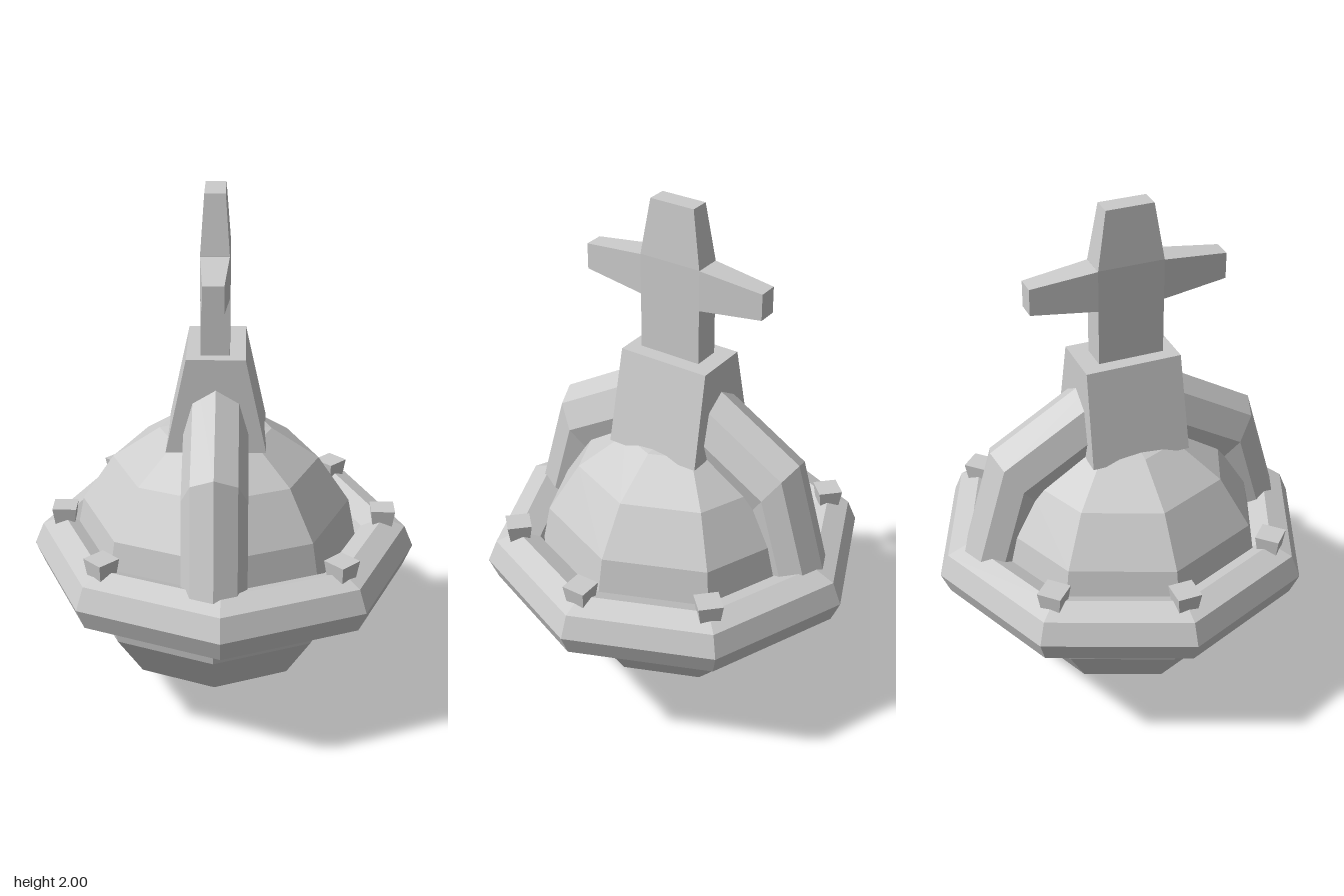
import * as THREE from 'three';

const material = new THREE.MeshStandardMaterial({ color: 0xcccccc, flatShading: true });

function add(parent, name, geometry, x = 0, y = 0, z = 0) {
  const mesh = new THREE.Mesh(geometry, material);
  mesh.name = name;
  mesh.position.set(x, y, z);
  parent.add(mesh);
  return mesh;
}

// Box standing on y = 0 whose top face has its own width and depth
function taperedBox(w0, d0, w1, d1, h) {
  const g = new THREE.BoxGeometry(1, h, 1);
  const p = g.attributes.position;
  for (let i = 0; i < p.count; i++) {
    const top = p.getY(i) > 0;
    p.setX(i, p.getX(i) * (top ? w1 : w0));
    p.setZ(i, p.getZ(i) * (top ? d1 : d0));
  }
  g.translate(0, h / 2, 0);
  g.computeVertexNormals();
  return g;
}

// Half torus stretched upward, with its feet cut short inside the rim
function archGeometry() {
  const sides = 8, steps = 4;
  const g = new THREE.TorusGeometry(0.62, 0.12, sides, steps, Math.PI);
  g.scale(1, 1.43, 1);
  const p = g.attributes.position;
  const foot = new THREE.Vector3(), next = new THREE.Vector3();
  for (let j = 0; j <= sides; j++) {
    const row = j * (steps + 1);
    for (const [a, b] of [[row, row + 1], [row + steps, row + steps - 1]]) {
      foot.fromBufferAttribute(p, a);
      next.fromBufferAttribute(p, b);
      foot.lerp(next, (0.58 - 0.35 - foot.y) / (next.y - foot.y));
      p.setXYZ(a, foot.x, foot.y, foot.z);
    }
  }
  g.rotateY(Math.PI / 2);
  g.computeVertexNormals();
  return g;
}

export function createModel() {
  const model = new THREE.Group();
  model.name = 'orbWithCross';

  add(model, 'orb', new THREE.SphereGeometry(0.555, 8, 8), -0.03, 0.56, 0);

  // Eight-sided rim around the orb
  const rim = new THREE.TorusGeometry(0.62, 0.12, 8, 8);
  rim.rotateX(Math.PI / 2);
  add(model, 'rim', rim, 0, 0.575, 0);

  add(model, 'arch', archGeometry(), -0.025, 0.35, 0);

  // Studs on the rim, leaving out the two places where the arch lands
  for (let i = 0; i < 8; i++) {
    if (i % 4 === 2) continue;
    const a = (i * Math.PI) / 4;
    const stud = add(model, 'stud', taperedBox(0.07, 0.07, 0.092, 0.092, 0.085),
      Math.cos(a) * 0.615, 0.657, Math.sin(a) * 0.615);
    stud.rotation.y = -a;
  }

  add(model, 'pedestal', taperedBox(0.37, 0.38, 0.215, 0.365, 0.36), -0.025, 1.055, 0);

  // Cross with tapering head and arms
  const cross = new THREE.Group();
  cross.name = 'cross';
  cross.position.set(-0.028, 0, 0.01);
  model.add(cross);
  add(cross, 'crossShaft', taperedBox(0.105, 0.25, 0.105, 0.25, 0.385), 0, 1.4, 0);
  add(cross, 'crossHead', taperedBox(0.105, 0.25, 0.075, 0.18, 0.215), 0, 1.785, 0);
  for (const s of [1, -1]) {
    const arm = add(cross, 'crossArm', taperedBox(0.105, 0.155, 0.075, 0.1, 0.248), 0, 1.706, s * 0.125);
    arm.rotation.x = (s * Math.PI) / 2;
  }
  return model;
}
